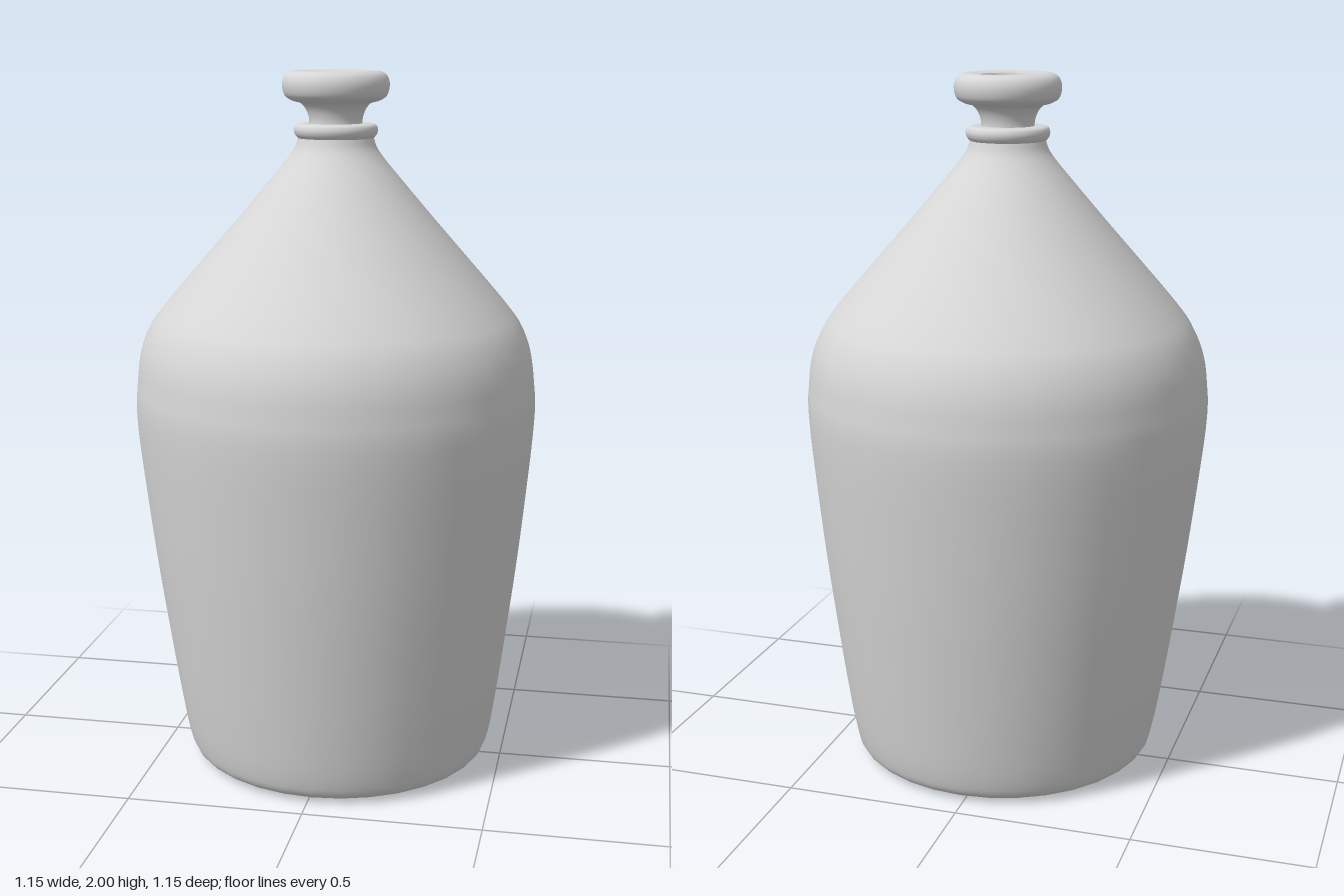
import * as THREE from 'three';

const SIDES = 32;

// Smooth a short list of [radius, height] points into a lathe profile
function smoothProfile(pts, count) {
  const curve = new THREE.CatmullRomCurve3(
    pts.map(([r, y]) => new THREE.Vector3(r, y, 0)), false, 'centripetal');
  return curve.getPoints(count).map(p => new THREE.Vector2(Math.max(0, p.x), p.y));
}

export function createModel() {
  const group = new THREE.Group();
  group.name = 'bottle';
  const stoneware = new THREE.MeshStandardMaterial({ color: 0xd6d6d6 });
  stoneware.name = 'grey stoneware';

  const add = (name, pts, count) => {
    const geo = new THREE.LatheGeometry(smoothProfile(pts, count), SIDES);
    const mesh = new THREE.Mesh(geo, stoneware);
    mesh.name = name;
    group.add(mesh);
    return mesh;
  };

  // Flat base with rounded edge, tapered body and straight conical shoulder
  const body = add('body', [
    [0, 0], [0.2, 0], [0.37, 0.002], [0.41, 0.008], [0.435, 0.025], [0.45, 0.065],
    [0.474, 0.2], [0.503, 0.4], [0.53, 0.6], [0.553, 0.8], [0.573, 1.0],
    [0.576, 1.08], [0.572, 1.13], [0.565, 1.19], [0.552, 1.24], [0.527, 1.295],
    [0.49, 1.345], [0.444, 1.4], [0.357, 1.5], [0.27, 1.6], [0.185, 1.7],
    [0.135, 1.76], [0.115, 1.79], [0.105, 1.82],
  ], 90);

  // Hand-thrown lean: the foot sits slightly to one side of the shoulder
  const pos = body.geometry.attributes.position;
  for (let i = 0; i < pos.count; i++) {
    pos.setX(i, pos.getX(i) + 0.012 * Math.max(0, 1 - pos.getY(i)));
  }

  // Raised ring around the foot of the neck
  add('neckRing', [
    [0.1, 1.81], [0.108, 1.817], [0.115, 1.826], [0.118, 1.838],
    [0.114, 1.85], [0.105, 1.855], [0.07, 1.856],
  ], 24);

  // Narrow flared neck and rounded lip with a nearly flat top
  add('neckAndLip', [
    [0.075, 1.845], [0.075, 1.868], [0.083, 1.893], [0.098, 1.911], [0.122, 1.918],
    [0.141, 1.93], [0.149, 1.95], [0.149, 1.972], [0.14, 1.99], [0.122, 1.999],
    [0.1, 1.999], [0.076, 1.995],
  ], 48);

  // Hollow of the mouth, with a crisp edge at the rim
  add('mouth', [
    [0.076, 1.995], [0.073, 1.985], [0.072, 1.94], [0.07, 1.905],
    [0.055, 1.88], [0.03, 1.87], [0, 1.868],
  ], 28);

  return group;
}
